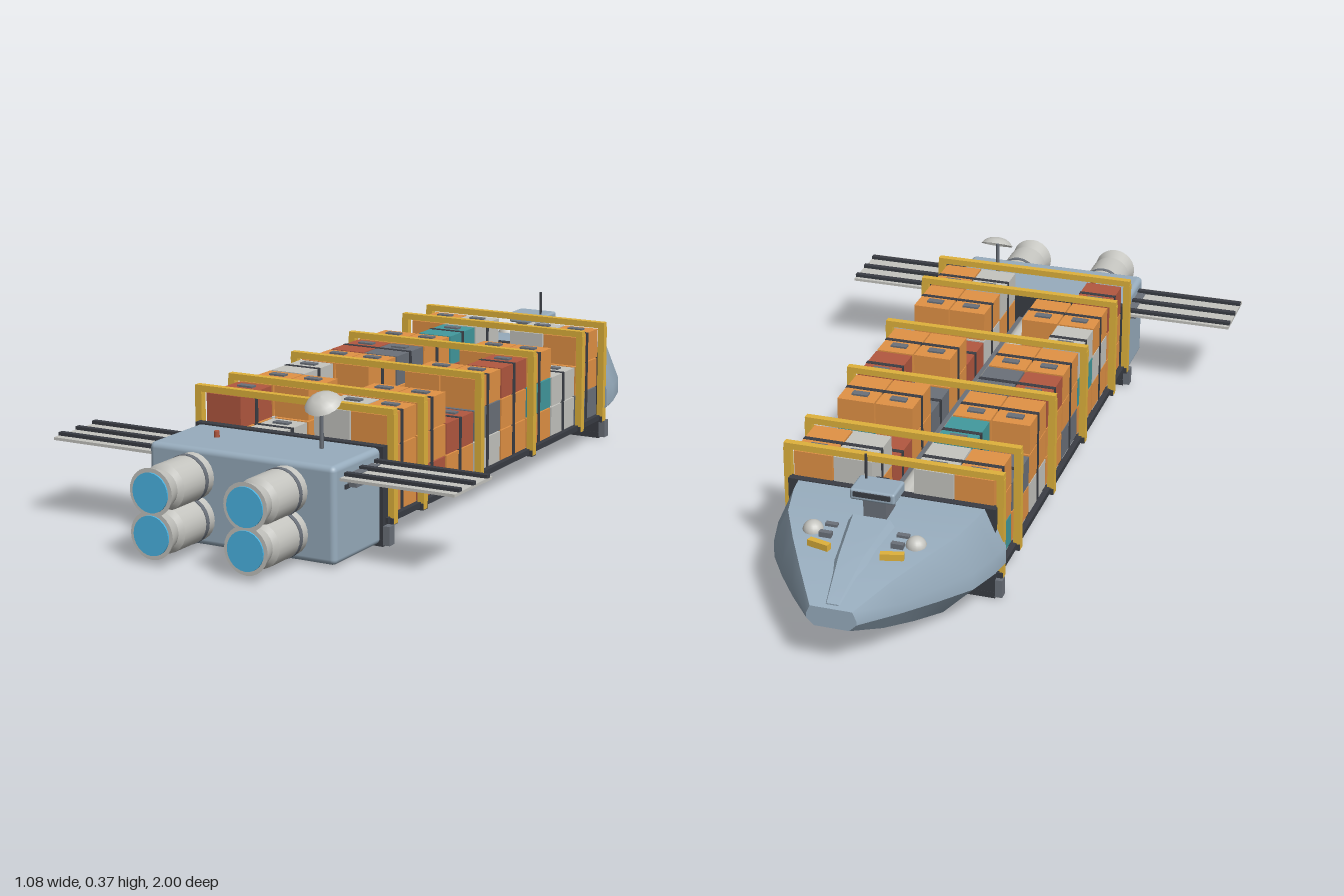
import * as THREE from 'three';
import { toCreasedNormals } from 'three/addons/utils/BufferGeometryUtils.js';
import { RoundedBoxGeometry } from 'three/addons/geometries/RoundedBoxGeometry.js';

function material(name, color, side = THREE.FrontSide) {
  const m = new THREE.MeshStandardMaterial({ color, side });
  m.name = name;
  return m;
}

// Closed skin over rings of [x, y] points, running from +z to -z
function loft(rings) {
  const n = rings[0].pts.length, pos = [], index = [];
  rings.forEach(r => r.pts.forEach(p => pos.push(p[0], p[1], r.z)));
  for (let i = 0; i < rings.length - 1; i++) {
    for (let j = 0; j < n; j++) {
      const a = i * n + j, b = i * n + (j + 1) % n;
      index.push(a, a + n, b, b, a + n, b + n);
    }
  }
  const last = (rings.length - 1) * n;
  for (let j = 1; j < n - 1; j++) {
    index.push(0, j, j + 1, last, last + j + 1, last + j);
  }
  const g = new THREE.BufferGeometry();
  g.setAttribute('position', new THREE.Float32BufferAttribute(pos, 3));
  g.setIndex(index);
  return toCreasedNormals(g, 0.5);
}

export function createModel() {
  const root = new THREE.Group();
  root.name = 'cargoShip';
  const hull = material('hull blue grey', 0x98adbe);
  const dark = material('dark steel', 0x3a3d44);
  const yellow = material('frame yellow', 0xe0b23c);
  const orange = material('container orange', 0xe29245);
  const grey = material('light grey', 0xc5c5c0, THREE.DoubleSide);
  const red = material('container red', 0xb35840);
  const teal = material('container teal', 0x429a9e);
  const slate = material('slate grey', 0x6b717a);
  const glow = material('engine blue', 0x4cb7e8);

  const add = (name, geo, mat, x = 0, y = 0, z = 0, parent = root) => {
    const m = new THREE.Mesh(geo, mat);
    m.name = name;
    m.position.set(x, y, z);
    parent.add(m);
    return m;
  };
  const box = (name, mat, w, h, d, x, y, z, parent) =>
    add(name, new THREE.BoxGeometry(w, h, d), mat, x, y, z, parent);

  // Keel and central spine
  add('keel', new RoundedBoxGeometry(0.2, 0.05, 1.2, 2, 0.012), hull, 0, 0.035, 0.01);
  box('spine', slate, 0.09, 0.11, 1.19, 0, 0.112, 0.01);
  const duct = add('spineDuct', new THREE.CylinderGeometry(0.022, 0.022, 1.19, 12), grey, 0, 0.18, 0.01);
  duct.rotation.x = Math.PI / 2;

  // Bow: eight-sided sections narrowing to a blunt nose
  const bowRing = (z, w, yb, yt) => {
    const h = yt - yb;
    const half = [[0.7 * w, yb], [w, yb + 0.36 * h], [w, yb + 0.56 * h], [0.84 * w, yt]];
    return { z, pts: [...half, ...half.map(p => [-p[0], p[1]]).reverse()] };
  };
  add('bow', loft([
    bowRing(-0.58, 0.278, 0.008, 0.236), bowRing(-0.64, 0.27, 0.012, 0.234),
    bowRing(-0.73, 0.245, 0.022, 0.228), bowRing(-0.82, 0.19, 0.044, 0.214),
    bowRing(-0.91, 0.128, 0.07, 0.192), bowRing(-1, 0.06, 0.106, 0.156),
  ]), hull);

  // Raised ridge on the bow deck
  const ridgeRing = (z, w, t, yb, yt) => ({ z, pts: [[w, yb], [t, yt], [-t, yt], [-w, yb]] });
  add('bowRidge', loft([
    ridgeRing(-0.73, 0.075, 0.045, 0.2, 0.245), ridgeRing(-0.87, 0.055, 0.028, 0.18, 0.217),
    ridgeRing(-0.99, 0.035, 0.014, 0.13, 0.163),
  ]), hull);

  // Bridge tower with windows and mast
  box('bridgeTower', slate, 0.056, 0.07, 0.065, 0, 0.25, -0.675);
  add('bridgeCabin', new RoundedBoxGeometry(0.11, 0.028, 0.075, 2, 0.006), hull, 0, 0.294, -0.688);
  box('bridgeWindows', dark, 0.09, 0.012, 0.004, 0, 0.297, -0.727);
  box('bridgeRearWindow', dark, 0.032, 0.01, 0.004, 0, 0.301, -0.649);
  add('mast', new THREE.CylinderGeometry(0.0035, 0.0035, 0.066, 8), dark, 0.035, 0.337, -0.665);

  // Deck domes with their arms and yellow rails
  for (const s of [-1, 1]) {
    add('deckDome', new THREE.SphereGeometry(0.025, 16, 8, 0, Math.PI * 2, 0, Math.PI / 2), grey, s * 0.125, 0.216, -0.778);
    for (const z of [-0.757, -0.798]) box('domeArm', slate, 0.03, 0.014, 0.014, s * 0.087, 0.222, z);
    const rail = box('deckRail', yellow, 0.055, 0.016, 0.016, s * 0.088, 0.217, -0.838);
    rail.rotation.y = s * -0.25;
  }

  // Bulkhead frames at both ends of the cargo bay
  for (const z of [-0.588, 0.606]) {
    box('bulkhead', dark, 0.515, 0.235, 0.022, 0, 0.12, z);
    box('bulkheadSill', dark, 0.515, 0.016, 0.024, 0, 0.008, z);
    for (const s of [-1, 1]) box('bulkheadFoot', slate, 0.018, 0.046, 0.024, s * 0.266, 0.027, z);
  }

  // Stern block
  add('sternBlock', new RoundedBoxGeometry(0.5, 0.23, 0.212, 3, 0.014), hull, 0, 0.12, 0.716);

  // Four engines
  const nozzle = [[0.048, 0], [0.055, 0.005], [0.055, 0.125], [0.043, 0.135], [0.057, 0.178], [0.045, 0.178]]
    .map(p => new THREE.Vector2(...p));
  for (const x of [-0.125, 0.125]) {
    for (const y of [0.07, 0.17]) {
      const engine = new THREE.Group();
      engine.name = 'engine';
      engine.position.set(x, y, 0.818);
      engine.rotation.x = Math.PI / 2;
      root.add(engine);
      add('nozzle', toCreasedNormals(new THREE.LatheGeometry(nozzle, 24), 0.5), grey, 0, 0, 0, engine);
      add('engineBand', new THREE.CylinderGeometry(0.0565, 0.0565, 0.012, 24), slate, 0, 0.034, 0, engine);
      add('exhaust', new THREE.CylinderGeometry(0.047, 0.047, 0.008, 24), glow, 0, 0.178, 0, engine);
    }
  }

  // Solar panels: pale plates with raised dark bars
  for (const s of [-1, 1]) {
    box('panelMount', slate, 0.03, 0.03, 0.11, s * 0.258, 0.193, 0.71);
    box('panelPlate', grey, 0.292, 0.007, 0.18, s * 0.394, 0.2025, 0.71);
    for (const z of [0.639, 0.706, 0.773]) box('panelBar', dark, 0.292, 0.009, 0.015, s * 0.394, 0.2095, z);
    for (let i = 0; i < 4; i++) box('sidePort', dark, 0.006, 0.01, 0.02, s * 0.251, 0.18, 0.65 + i * 0.04);
  }

  // Dish antenna and beacon
  add('dishPole', new THREE.CylinderGeometry(0.005, 0.005, 0.11, 8), slate, 0.135, 0.283, 0.685);
  const bowl = [[0.044, 0], [0.035, 0.011], [0.02, 0.019], [0, 0.022]].map(p => new THREE.Vector2(...p));
  const dish = add('dish', new THREE.LatheGeometry(bowl, 16), grey, 0.135, 0.338, 0.678);
  dish.rotation.x = 0.5;
  add('beacon', new THREE.CylinderGeometry(0.007, 0.007, 0.016, 10), red, -0.135, 0.242, 0.71);

  // Containers: each string is one stack, listed from bottom to top
  const paint = { o: orange, g: grey, r: red, t: teal, s: slate };
  const columns = [-0.2, -0.1, 0.1, 0.2];
  const stacks = [
    ['too', 'sog', 'rog', 'soo'],
    ['os', 'ort', 'gr', 'gg'],
    ['goo', 'ooo', 'goo', 'oto'],
    ['oor', 'gos', 'os', 'oor'],
    ['soo', 'goo', 'roo', 'gso'],
    ['otg', 'oo', 'gr', 'or'],
    ['ogo', 'soo', 'ogo', 'roo'],
    ['oor', 'og', 'oog', 'ooo'],
  ];
  const containerGeo = new THREE.BoxGeometry(0.096, 0.077, 0.139);
  const bandGeo = new THREE.BoxGeometry(0.0985, 0.079, 0.013);
  const hatchGeo = new THREE.BoxGeometry(0.042, 0.006, 0.02);
  stacks.forEach((row, i) => {
    const z = -0.511 + i * 0.146;
    row.forEach((stack, c) => {
      [...stack].forEach((k, level) => {
        const y = 0.104 + level * 0.08;
        add('container', containerGeo, paint[k], columns[c], y, z);
        add('containerBand', bandGeo, dark, columns[c], y, z);
        if (level === stack.length - 1) add('containerHatch', hatchGeo, slate, columns[c], y + 0.04, z - 0.033);
      });
    });
  });

  // Side rails and cross beams carrying the stacks
  for (const s of [-1, 1]) {
    box('sideRail', dark, 0.014, 0.014, 1.19, s * 0.257, 0.06, 0.01);
    box('innerRail', slate, 0.012, 0.014, 1.19, s * 0.106, 0.056, 0.01);
  }
  for (let i = 0; i <= 8; i++) box('crossBeam', dark, 0.52, 0.012, 0.014, 0, 0.058, -0.583 + i * 0.146);

  // Yellow lashing gantries over the cargo
  for (const z of [-0.576, -0.437, -0.145, 0.147, 0.439, 0.584]) {
    const gantry = new THREE.Group();
    gantry.name = 'gantry';
    gantry.position.z = z;
    root.add(gantry);
    box('gantryBeam', yellow, 0.544, 0.016, 0.018, 0, 0.315, 0, gantry);
    for (const s of [-1, 1]) {
      box('gantryPost', yellow, 0.018, 0.26, 0.018, s * 0.264, 0.18, 0, gantry);
      box('gantryShoe', dark, 0.02, 0.016, 0.024, s * 0.262, 0.056, 0, gantry);
    }
  }
  return root;
}
